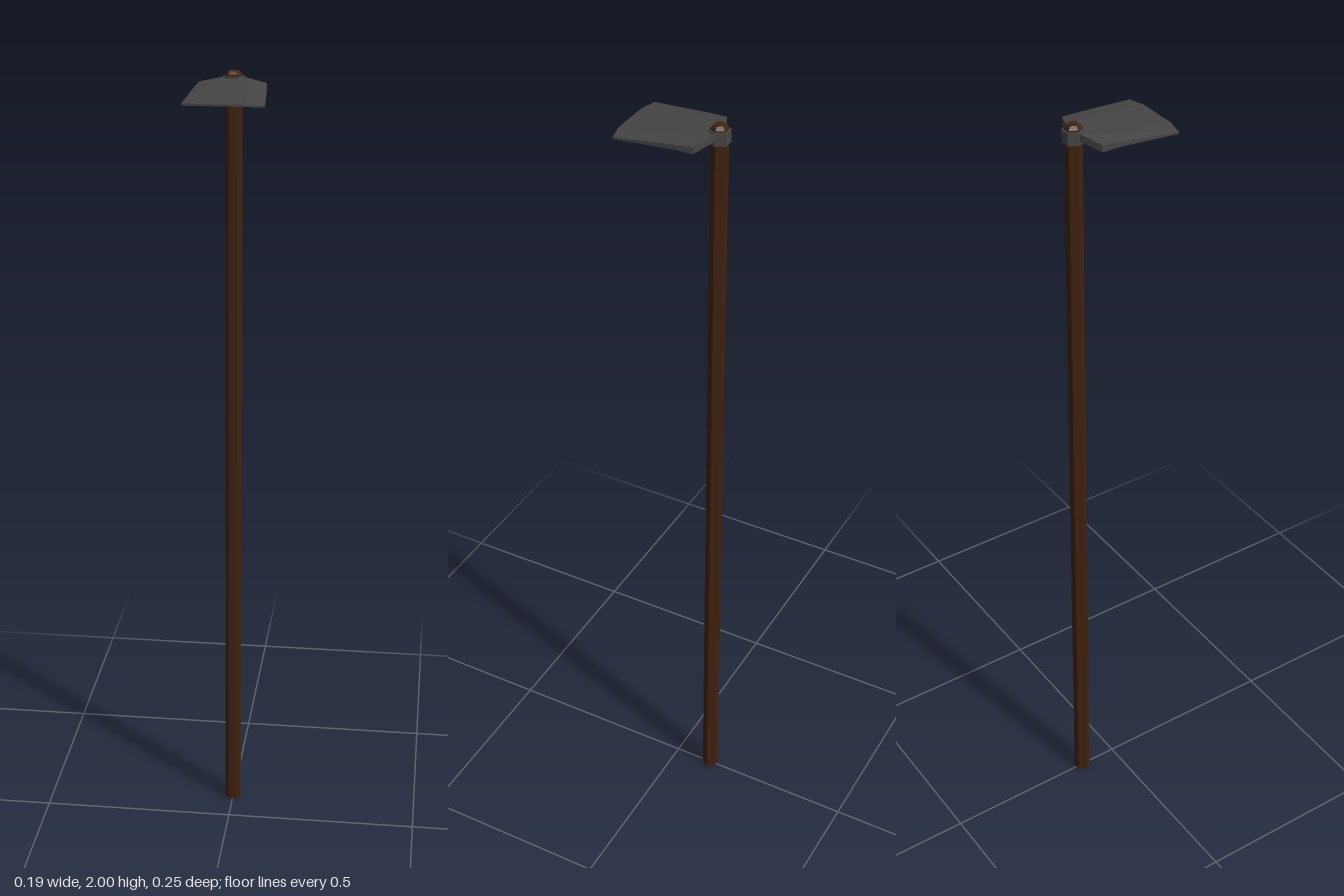
import * as THREE from 'three';

const wood = new THREE.MeshStandardMaterial({ color: 0x3f2110, flatShading: true });
const metal = new THREE.MeshStandardMaterial({ color: 0x454545, flatShading: true });
const AXIS_Z = -0.102;

// Closed six-sided prism from [radius, y] pairs, corners pointing to the sides
function hexPart(name, profile, material) {
  const points = profile.map(([r, y]) => new THREE.Vector2(r, y));
  const mesh = new THREE.Mesh(new THREE.LatheGeometry(points, 6, Math.PI / 6), material);
  mesh.name = name;
  mesh.position.z = AXIS_Z;
  return mesh;
}

// Crowned, tapering blade lofted through three cross-sections
function bladeGeometry() {
  // inner [x, y, z], outer [x, y, z], thickness
  const rows = [
    { inner: [0.027, 1.985, -0.101], outer: [0.081, 1.976, -0.079], t: 0.017 },
    { inner: [0.05, 1.98, -0.035], outer: [0.085, 1.973, -0.035], t: 0.012 },
    { inner: [0.052, 1.962, 0.122], outer: [0.096, 1.96, 0.113], t: 0.005 },
  ];
  const positions = [];
  const index = [];
  for (const { inner, outer, t } of rows) {
    const top = [[-1, outer], [-1, inner], [1, inner], [1, outer]].map(([s, p]) => [s * p[0], p[1], p[2]]);
    const bottom = top.map(([x, y, z]) => [x, y - t, z]).reverse();
    positions.push(...top.flat(), ...bottom.flat());
  }
  const n = 8;
  for (let r = 0; r < rows.length - 1; r++) {
    for (let i = 0; i < n; i++) {
      const a = r * n + i, b = r * n + (i + 1) % n;
      index.push(a, a + n, b, b, a + n, b + n);
    }
  }
  // Back and cutting edges
  const last = (rows.length - 1) * n;
  for (let i = 0; i < 3; i++) {
    const a = i, b = i + 1, c = 6 - i, d = 7 - i;
    index.push(a, b, c, a, c, d);
    index.push(last + a, last + c, last + b, last + a, last + d, last + c);
  }
  const geometry = new THREE.BufferGeometry();
  geometry.setAttribute('position', new THREE.Float32BufferAttribute(positions, 3));
  geometry.setIndex(index);
  geometry.computeVertexNormals();
  return geometry;
}

export function createModel() {
  const model = new THREE.Group();
  model.name = 'hoe';

  // Long shaft with a bevelled tip
  model.add(hexPart('handle', [[0, 0], [0.021, 0], [0.021, 1.992], [0.014, 2], [0, 2]], wood));

  // Metal socket around the shaft
  model.add(hexPart('socket', [[0.021, 1.957], [0.026, 1.957], [0.026, 1.988], [0.021, 1.988]], metal));

  const blade = new THREE.Mesh(bladeGeometry(), metal);
  blade.name = 'blade';
  model.add(blade);
  return model;
}
